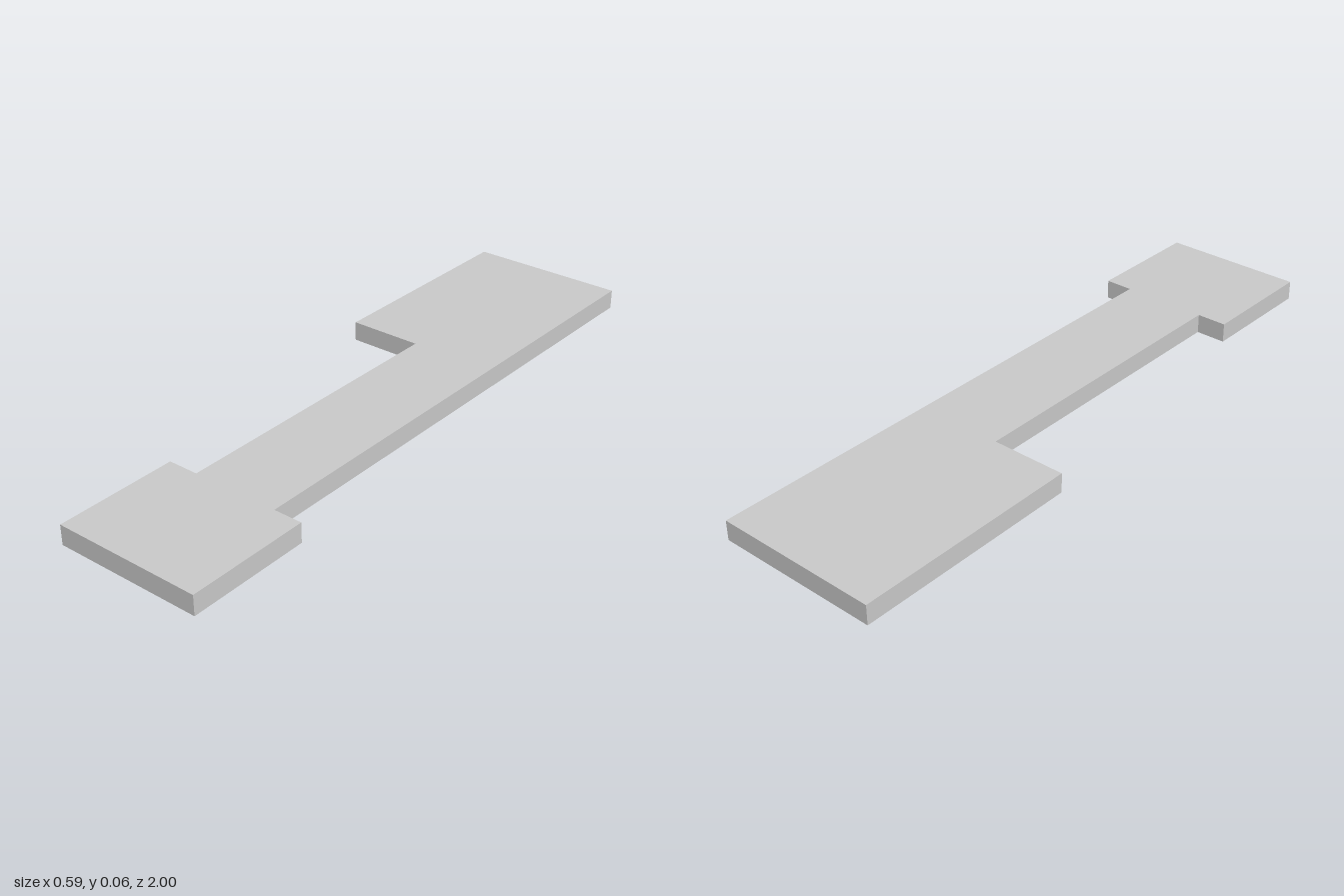
import * as THREE from 'three';

const THICKNESS = 0.06;

export function createModel() {
  const group = new THREE.Group();
  group.name = 'flatBar';

  // Plan outline as [x, z]: wide back tab, narrow stem, front foot
  const outline = [
    [-0.157, 1], [0.294, 1], [0.294, 0.627], [0.206, 0.627],
    [0.206, -1], [-0.294, -1], [-0.294, -0.306], [-0.063, -0.306],
    [-0.063, 0.627], [-0.157, 0.627],
  ];
  const shape = new THREE.Shape(outline.map(([x, z]) => new THREE.Vector2(x, -z)));

  // Lay the extruded plate flat on the ground
  const geometry = new THREE.ExtrudeGeometry(shape, { depth: THICKNESS, bevelEnabled: false });
  geometry.rotateX(-Math.PI / 2);

  const plate = new THREE.Mesh(
    geometry,
    new THREE.MeshStandardMaterial({ color: 0xcccccc, flatShading: true }),
  );
  plate.name = 'plate';
  group.add(plate);
  return group;
}
